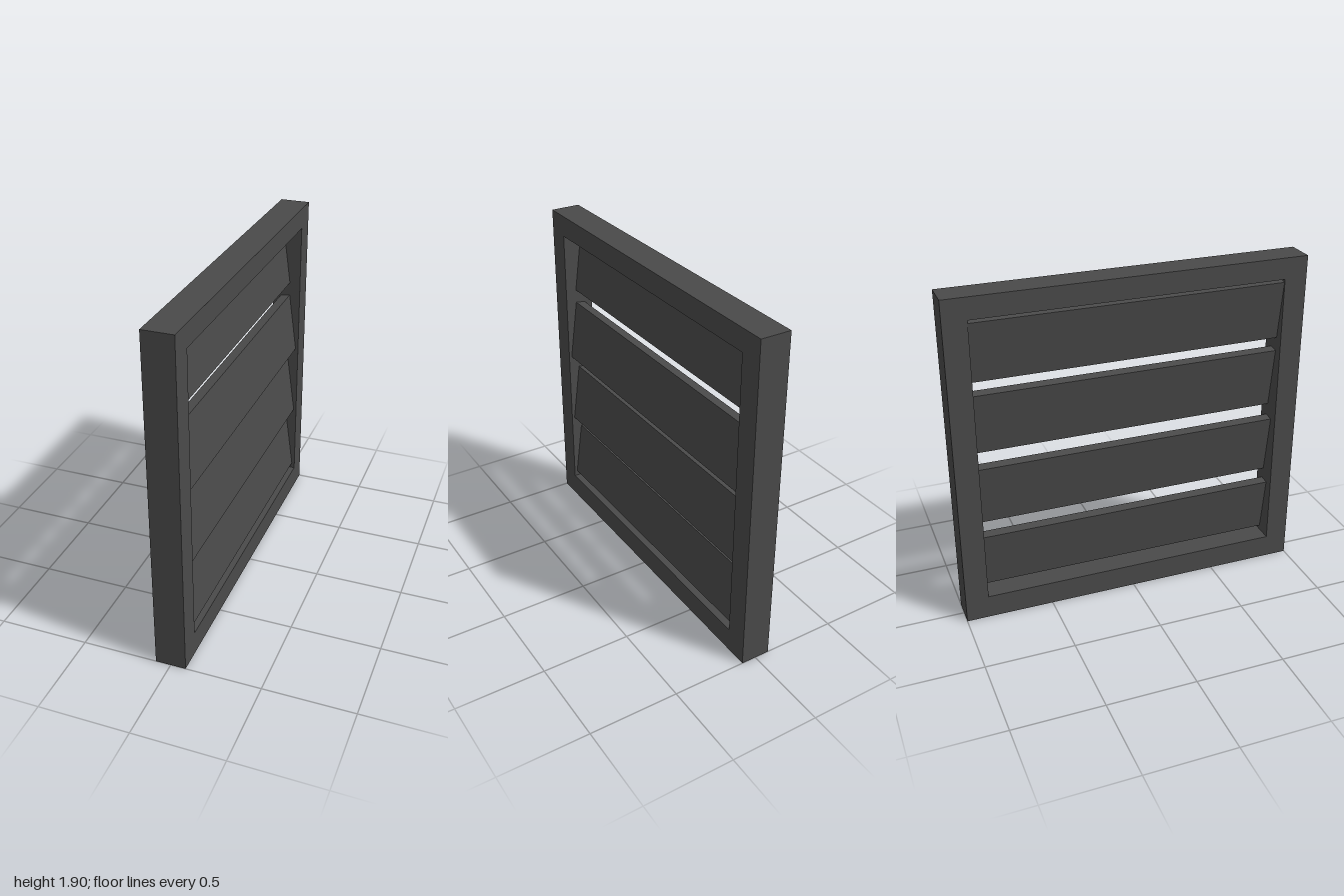
import * as THREE from 'three';

const DEPTH = 0.168;
const HEIGHT = 1.9;
const TILT = 0.134;

export function createModel() {
  const group = new THREE.Group();
  group.name = 'louvredPanel';
  const darkGrey = new THREE.MeshStandardMaterial({ color: 0x4a4a4a });
  darkGrey.name = 'dark grey';

  // Surrounding frame, drawn in the z-y plane and extruded across x
  const outline = new THREE.Shape([
    new THREE.Vector2(-1, 0), new THREE.Vector2(1, 0),
    new THREE.Vector2(1, HEIGHT), new THREE.Vector2(-1, HEIGHT),
  ]);
  outline.holes.push(new THREE.Path([
    new THREE.Vector2(-0.87, 0.135), new THREE.Vector2(-0.87, 1.78),
    new THREE.Vector2(0.87, 1.78), new THREE.Vector2(0.87, 0.135),
  ]));
  const frameGeometry = new THREE.ExtrudeGeometry(outline, { depth: DEPTH, bevelEnabled: false });
  frameGeometry.translate(0, 0, -DEPTH / 2).rotateY(Math.PI / 2);
  const frame = new THREE.Mesh(frameGeometry, darkGrey);
  frame.name = 'frame';
  group.add(frame);

  // Tilted slats, lower edge leaning to +x; the top one sits further back
  const slats = [
    { x: -0.03, y: 1.598, height: 0.34 },
    { x: 0.017, y: 1.175, height: 0.355 },
    { x: 0.017, y: 0.745, height: 0.355 },
    { x: 0.017, y: 0.331, height: 0.335 },
  ];
  slats.forEach(({ x, y, height }, i) => {
    const slat = new THREE.Mesh(new THREE.BoxGeometry(0.056, height, 1.742), darkGrey);
    slat.name = `slat${i + 1}`;
    slat.position.set(x, y, 0);
    slat.rotation.z = TILT;
    group.add(slat);
  });
  return group;
}
